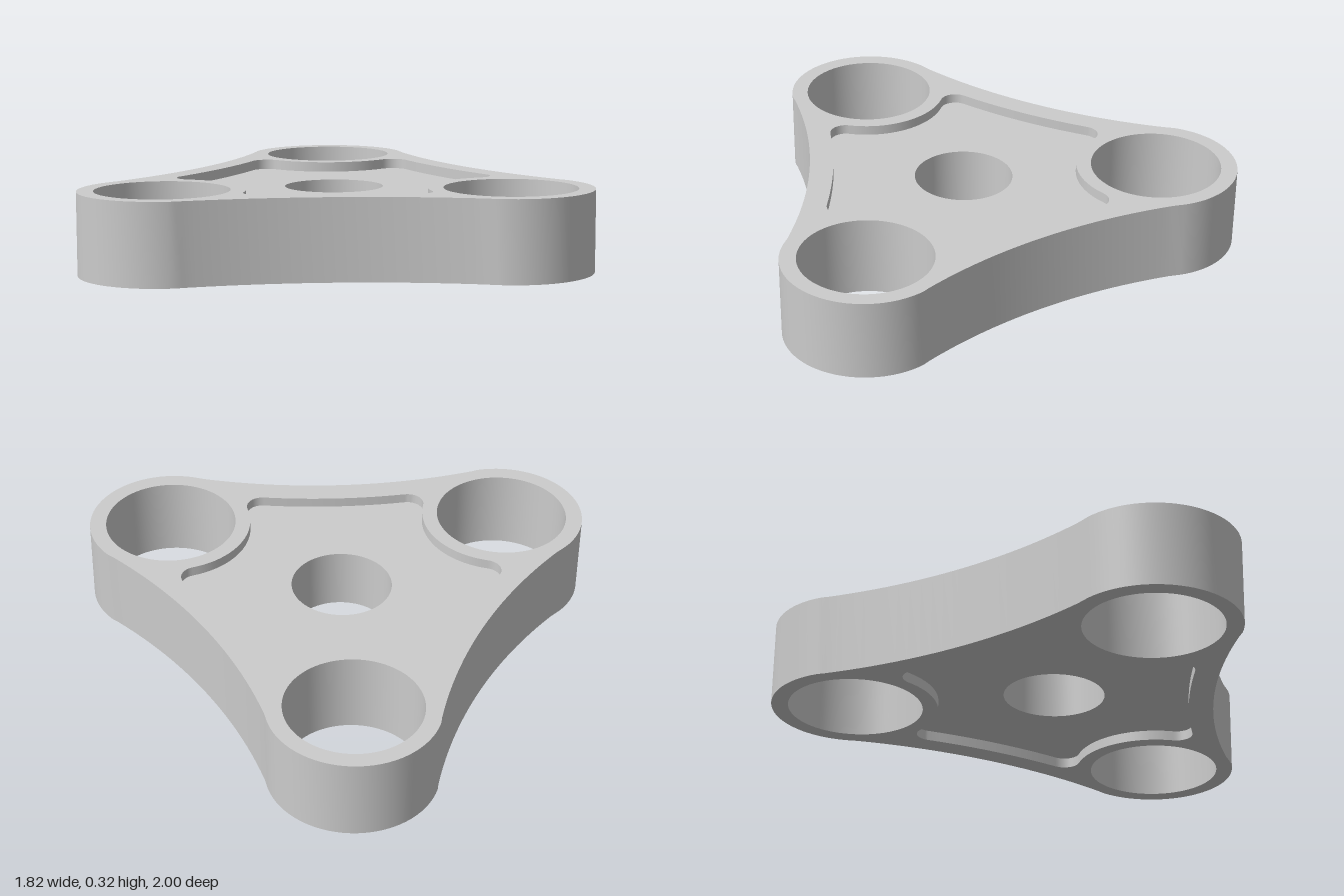
import * as THREE from 'three';
import { toCreasedNormals } from 'three/addons/utils/BufferGeometryUtils.js';

const HEIGHT = 0.325, RECESS = 0.04;
const LOBE_DIST = 0.776, LOBE_R = 0.327, HOLE_R = 0.262, HUB_R = 0.197;
const SIDE_DIST = 2.8, SIDE_R = 2.18;               // large circles that cut the concave sides
const POCKET_LOBE_R = 0.322, POCKET_SIDE_R = 2.275, FILLET = 0.062;

const polar = (r, deg) => new THREE.Vector2(r * Math.cos(deg * Math.PI / 180), r * Math.sin(deg * Math.PI / 180));

// Adds points on a circle around c, from the direction of a towards that of b (end point left out)
function arc(points, c, r, a, b, ccw, n) {
  const start = Math.atan2(a.y - c.y, a.x - c.x);
  let sweep = Math.atan2(b.y - c.y, b.x - c.x) - start;
  if (ccw && sweep < 0) sweep += Math.PI * 2;
  if (!ccw && sweep > 0) sweep -= Math.PI * 2;
  for (let i = 0; i < n; i++) {
    const t = start + sweep * i / n;
    points.push(new THREE.Vector2(c.x + r * Math.cos(t), c.y + r * Math.sin(t)));
  }
}

// Centre of the fillet touching a side circle and a lobe circle, on the side nearer the hub
function filletCentre(side, lobe) {
  const ra = POCKET_SIDE_R + FILLET, rb = POCKET_LOBE_R + FILLET;
  const d = side.distanceTo(lobe);
  const along = (ra * ra - rb * rb + d * d) / (2 * d);
  const off = Math.sqrt(ra * ra - along * along);
  const u = lobe.clone().sub(side).divideScalar(d);
  const options = [1, -1].map(s => new THREE.Vector2(
    side.x + u.x * along - s * u.y * off,
    side.y + u.y * along + s * u.x * off));
  return options.sort((p, q) => p.length() - q.length())[0];
}

function circle(c, r) {
  return new THREE.Path().absarc(c.x, c.y, r, 0, Math.PI * 2, true);
}

function plate(name, shape, y, height, material) {
  const geo = new THREE.ExtrudeGeometry(shape, { depth: height, bevelEnabled: false, curveSegments: 48 });
  geo.rotateX(-Math.PI / 2);
  const mesh = new THREE.Mesh(toCreasedNormals(geo, 0.5), material);
  mesh.name = name;
  mesh.position.y = y;
  return mesh;
}

export function createModel() {
  const material = new THREE.MeshStandardMaterial({ color: 0xcccccc });
  const outline = [], pocket = [], lobes = [];

  // One third of both outlines per lobe
  for (let k = 0; k < 3; k++) {
    const a = k * 120;
    const lobe = polar(LOBE_DIST, a), nextLobe = polar(LOBE_DIST, a + 120);
    const before = polar(SIDE_DIST, a - 60), after = polar(SIDE_DIST, a + 60);
    lobes.push(lobe);

    arc(outline, lobe, LOBE_R, before, after, true, 32);
    arc(outline, after, SIDE_R, lobe, nextLobe, false, 24);

    const f1 = filletCentre(before, lobe), f2 = filletCentre(after, lobe);
    const f3 = filletCentre(after, nextLobe);
    arc(pocket, f1, FILLET, before, lobe, true, 10);
    arc(pocket, lobe, POCKET_LOBE_R, f1, f2, false, 20);
    arc(pocket, f2, FILLET, lobe, after, true, 10);
    arc(pocket, after, POCKET_SIDE_R, f2, f3, false, 12);
  }

  // Full-height frame with the three round sockets
  const frame = new THREE.Shape(outline);
  frame.holes.push(new THREE.Path(pocket), ...lobes.map(c => circle(c, HOLE_R)));

  // Thinner web, recessed on the top and the underside, with the hub hole
  const web = new THREE.Shape(pocket);
  web.holes.push(circle(new THREE.Vector2(), HUB_R));

  const group = new THREE.Group();
  group.name = 'threeLobedSpinner';
  group.add(plate('frame', frame, 0, HEIGHT, material));
  group.add(plate('recessedWeb', web, RECESS, HEIGHT - 2 * RECESS, material));
  group.children.forEach(m => { m.position.x = -LOBE_DIST / 4; });
  return group;
}
